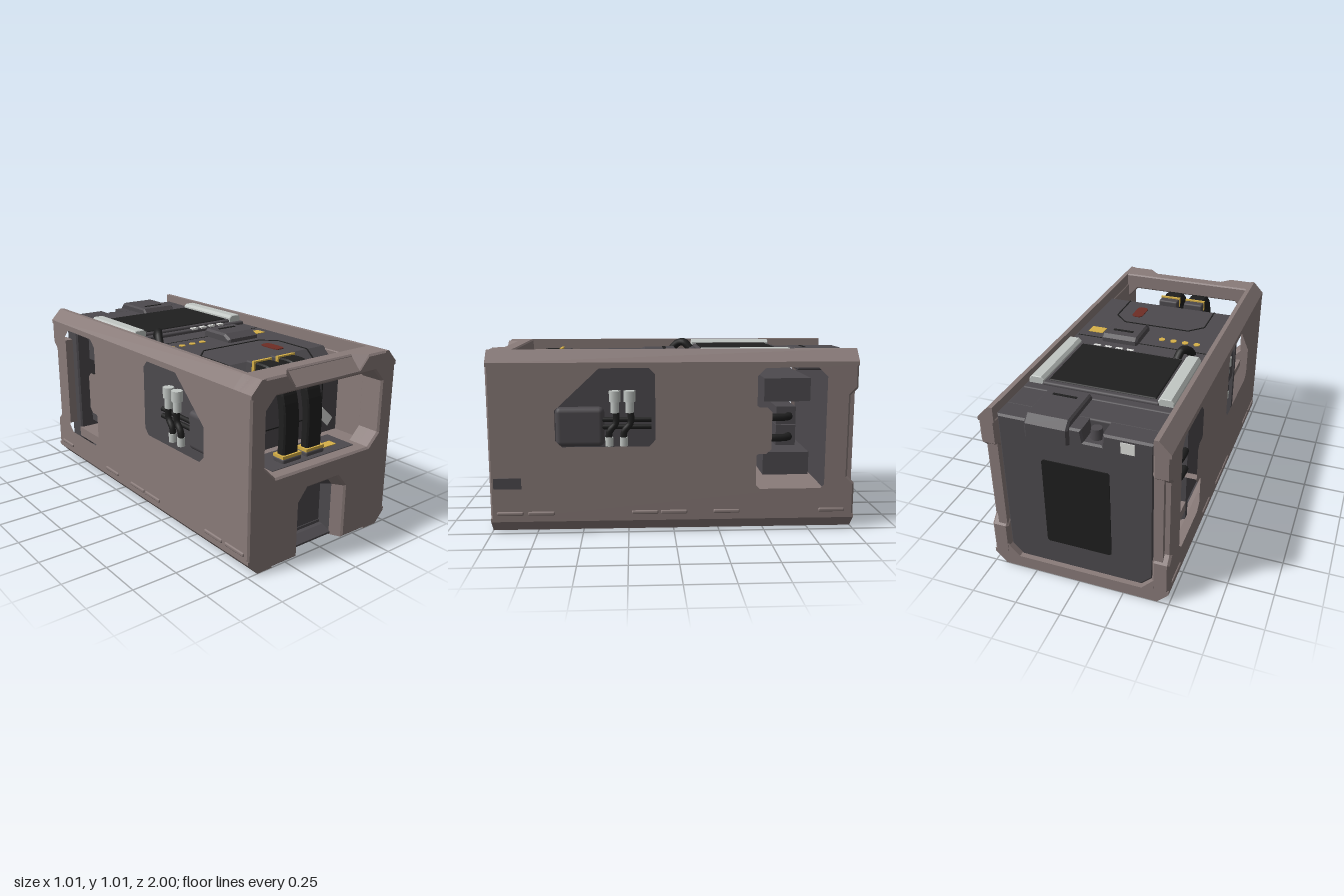
import * as THREE from 'three';
import { RoundedBoxGeometry } from 'three/addons/geometries/RoundedBoxGeometry.js';
import { ConvexGeometry } from 'three/addons/geometries/ConvexGeometry.js';

const mat = (name, color) => Object.assign(new THREE.MeshStandardMaterial({ color }), { name });
const M = {
  shell: mat('taupe shell', 0x897b79),
  grey: mat('dark grey', 0x4d4a4e),
  black: mat('black', 0x1f1f1f),
  silver: mat('silver', 0xc2c7c4),
  yellow: mat('yellow', 0xd6b048),
  red: mat('red', 0x6e2d25),
  white: mat('white', 0xdedfdc),
};

export function createModel() {
  const root = new THREE.Group();
  root.name = 'equipmentModule';

  const add = (name, geo, m, x = 0, y = 0, z = 0) => {
    const mesh = new THREE.Mesh(geo, m);
    mesh.name = name;
    mesh.position.set(x, y, z);
    root.add(mesh);
    return mesh;
  };
  // box given by its min and max on each axis, optionally rounded
  const box = (name, m, [x0, x1], [y0, y1], [z0, z1], r = 0) => {
    const s = [x1 - x0, y1 - y0, z1 - z0];
    const g = r ? new RoundedBoxGeometry(...s, 2, r) : new THREE.BoxGeometry(...s);
    return add(name, g, m, (x0 + x1) / 2, (y0 + y1) / 2, (z0 + z1) / 2);
  };
  const toShape = (pts, holes = []) => {
    const s = new THREE.Shape(pts.map(p => new THREE.Vector2(...p)));
    s.holes = holes.map(h => new THREE.Path(h.map(p => new THREE.Vector2(...p))));
    return s;
  };
  const extrude = (pts, depth, bevel, holes) => new THREE.ExtrudeGeometry(toShape(pts, holes), {
    depth: depth - 2 * bevel, bevelEnabled: bevel > 0, bevelSize: bevel, bevelOffset: -bevel,
    bevelThickness: bevel, bevelSegments: 1, curveSegments: 6,
  }).translate(0, 0, bevel);
  // outline in (x, y), extruded from z0 to z1
  const alongZ = (name, m, pts, z0, z1, bevel = 0, holes) =>
    add(name, extrude(pts, z1 - z0, bevel, holes), m, 0, 0, z0);
  // outline in (z, y), extruded from x0 to x1
  const alongX = (name, m, pts, x0, x1, bevel = 0, holes = []) => {
    const flip = list => list.map(([z, y]) => [-z, y]);
    return add(name, extrude(flip(pts), x1 - x0, bevel, holes.map(flip)).rotateY(Math.PI / 2), m, x0);
  };
  // right half of an outline, completed by its mirror image
  const mirror = half => [...half, ...half.map(([x, ...r]) => [-x, ...r]).reverse()];
  const tube = (name, m, pts, r) => add(name, new THREE.TubeGeometry(
    new THREE.CatmullRomCurve3(pts.map(p => new THREE.Vector3(...p))), 16, r, 8), m);
  // straight bar between two points
  const bar = (name, m, a, b, w, h = w) => {
    const p = new THREE.Vector3(...a), q = new THREE.Vector3(...b);
    const mesh = add(name, new THREE.BoxGeometry(w, h, p.distanceTo(q)), m);
    mesh.position.copy(p).add(q).multiplyScalar(0.5);
    mesh.lookAt(q);
  };

  // side walls with two windows and a grip notch at the rear edge
  const wall = [[0.985, 0.065], [0.985, 0.935], [-1, 0.935], [-1, 0.79], [-0.96, 0.75], [-0.96, 0.3], [-1, 0.26], [-1, 0.065]];
  const frontWindow = [[0.09, 0.51], [0.13, 0.468], [0.61, 0.468], [0.653, 0.51], [0.653, 0.685], [0.405, 0.917], [0.13, 0.917], [0.09, 0.875]];
  const rearWindow = [[-0.438, 0.865], [-0.49, 0.915], [-0.785, 0.915], [-0.842, 0.86], [-0.842, 0.25], [-0.795, 0.203], [-0.485, 0.203],
    [-0.438, 0.25], [-0.438, 0.43], [-0.46, 0.443], [-0.5, 0.443], [-0.52, 0.463], [-0.52, 0.657], [-0.5, 0.677], [-0.46, 0.677], [-0.438, 0.69]];
  for (const s of [-1, 1]) {
    const side = (a, b) => (s > 0 ? [a, b] : [-b, -a]);
    const flip = pts => pts.map(([x, y]) => [x * s, y]);
    alongX('sideWall', M.shell, wall, ...side(0.405, 0.497), 0.012, [frontWindow, rearWindow]);
    box('rearGripBack', M.shell, side(0.41, 0.46), [0.24, 0.81], [-0.99, -0.9]);
    alongZ('topRail', M.shell, flip([[0.41, 0.915], [0.497, 0.915], [0.497, 0.935], [0.435, 1], [0.41, 1]]), -1, 1);
    alongZ('bottomRail', M.shell, flip([[0.34, 0], [0.435, 0], [0.497, 0.065], [0.497, 0.085], [0.41, 0.085], [0.34, 0.05]]), -1, 1);
    alongZ('rearCornerFillet', M.shell, flip([[0.415, 0.06], [0.415, 0.14], [0.34, 0.06]]), -1, -0.88);
    // raised skid pads
    for (const z of [0.895, 0.725, 0.16, 0, -0.29, -0.875])
      box('skidPad', M.shell, side(0.485, 0.505), [0.1, 0.122], [z - 0.073, z + 0.073], 0.008);

    // equipment seen in the front side window
    const x = s * 0.43;
    box('sideCanister', M.grey, side(0.34, 0.41), [0.46, 0.68], [0.38, 0.65], 0.03);
    for (const z of [0.32, 0.24]) {
      add('hoseFitting', new THREE.CylinderGeometry(0.032, 0.032, 0.06, 8), M.silver, x, 0.745, z);
      add('hoseFittingNeck', new THREE.CylinderGeometry(0.023, 0.023, 0.07, 8), M.silver, x, 0.69, z);
      tube('hose', M.black, [[x, 0.7, z], [x, 0.6, z - 0.005], [x, 0.55, z + 0.03], [x, 0.47, z + 0.035]], 0.018);
      add('hoseBase', new THREE.CylinderGeometry(0.022, 0.022, 0.05, 8), M.silver, x, 0.495, z + 0.033);
    }
    for (const y of [0.57, 0.61]) tube('crossHose', M.black, [[s * 0.39, y, 0.12], [s * 0.39, y, 0.4]], 0.014);
    // couplings behind the rear side window
    for (const y of [0.505, 0.62])
      tube('coupling', M.black, [[s * 0.42, y, -0.5], [s * 0.42, y, -0.57], [s * 0.4, y, -0.64], [s * 0.34, y, -0.65]], 0.021);
    // slanted brackets on the front bulkhead
    const b = box('slantedBracket', M.white, [-0.055, 0.055], [-0.028, 0.028], [-0.004, 0.004]);
    b.position.set(s * 0.31, 0.575, 0.693);
    b.rotation.z = -s * 0.75;
  }
  box('sidePlate', M.grey, [0.493, 0.5], [0.25, 0.31], [0.83, 0.98]);

  // front wall with cable window, foot recess and grip cut into the top edge
  const foot = [[0.165, 0], [0.165, 0.305], [0.108, 0.375]];
  const lower = [...foot].reverse();
  const outer = [[0.435, 0], [0.497, 0.065], [0.497, 0.935], [0.435, 1]];
  const windowHole = mirror([[0.33, 0.485], [0.4, 0.555], [0.4, 0.84], [0.34, 0.905]]);
  alongZ('frontWallInner', M.shell, mirror([...lower, ...outer]), 0.86, 0.94, 0.008, [windowHole]);
  alongZ('frontWallOuter', M.shell, mirror([...lower, ...outer, [0.28, 1], [0.22, 0.935]]), 0.9, 1, 0.01, [windowHole]);
  const hull = pts => add('frontGripSlope', new ConvexGeometry(pts.map(p => new THREE.Vector3(...p))), M.shell);
  const corner = s => [[0.22, 0.93, 0.93], [0.22, 0.93, 0.995], [0.22, 1, 0.93], [0.285, 1, 0.995], [0.285, 1, 0.93]].map(([x, y, z]) => [x * s, y, z]);
  hull(corner(1));
  hull(corner(-1));
  hull([1, -1].flatMap(s => corner(s).slice(0, 3)));

  // tapered foot recess: shell coloured outer ring, grey inner ring
  const rings = [[foot, 0.99], [[[0.138, 0], [0.138, 0.3], [0.093, 0.355]], 0.93], [[[0.12, 0], [0.12, 0.28], [0.082, 0.335]], 0.86]]
    .map(([half, z]) => mirror(half).map(([x, y]) => [x, y, z]));
  [M.shell, M.grey].forEach((m, r) => {
    const tri = [];
    for (let i = 0; i < 5; i++) {
      const [a, b, c, d] = [rings[r][i], rings[r][i + 1], rings[r + 1][i + 1], rings[r + 1][i]];
      tri.push(a, b, d, b, c, d);
    }
    const geo = new THREE.BufferGeometry();
    geo.setAttribute('position', new THREE.Float32BufferAttribute(tri.flat(), 3));
    geo.computeVertexNormals();
    add('footRecess', geo, m);
  });
  box('footRecessBack', M.grey, [-0.18, 0.18], [0.02, 0.4], [0.83, 0.865]);
  alongX('footRecessSill', M.grey, [[0.86, 0.01], [0.86, 0.055], [0.89, 0.05], [0.94, 0.02], [0.94, 0.01]], -0.135, 0.135);

  // underside panel, rear sill and braces
  box('underPanel', M.grey, [-0.42, 0.42], [0.03, 0.07], [-0.95, 0.87]);
  box('rearSill', M.shell, [-0.43, 0.43], [0, 0.07], [-1, -0.9]);
  for (const s of [-1, 1]) {
    for (const z of [-0.85, 0.12]) bar('underBrace', M.shell, [0, 0.02, -0.2], [s * 0.37, 0.02, z], 0.1, 0.033);
    box('recessSurround', M.shell, [s * 0.21 - 0.035, s * 0.21 + 0.035], [0.004, 0.04], [0.56, 0.88]);
  }
  box('underSpar', M.shell, [-0.05, 0.05], [0.004, 0.04], [-0.2, 0.55]);
  box('recessSurroundEnd', M.shell, [-0.245, 0.245], [0.004, 0.04], [0.53, 0.6]);
  box('underHub', M.shell, [-0.11, 0.11], [0.004, 0.04], [-0.31, -0.09]);

  // inner core, bulkheads and deck with a sloped front edge
  box('core', M.grey, [-0.37, 0.37], [0.06, 0.85], [-0.4, 0.66]);
  box('middleBulkhead', M.grey, [-0.41, 0.41], [0.06, 0.92], [-0.42, -0.38]);
  alongX('deck', M.grey, [[-0.4, 0.78], [-0.4, 0.94], [0.56, 0.94], [0.69, 0.83], [0.69, 0.07], [0.65, 0.07], [0.65, 0.78]], -0.41, 0.41);
  box('cableShelf', M.shell, [-0.41, 0.41], [0.44, 0.482], [0.66, 0.88]);
  box('cableShelfPlate', M.grey, [-0.29, 0.29], [0.47, 0.488], [0.74, 0.93]);
  // modules and floor of the rear bay
  for (const [y0, y1, z0, z1] of [[0.28, 0.41, -0.77, -0.51], [0.7, 0.83, -0.77, -0.51], [0.45, 0.565, -0.69, -0.58], [0.57, 0.67, -0.69, -0.58]])
    box('bayModule', M.grey, [-0.36, 0.36], [y0, y1], [z0, z1]);
  box('bayFloor', M.shell, [-0.41, 0.41], [0.15, 0.21], [-0.86, -0.42]);

  // rear panel with knob notch, vent, top block and latch
  const rear = [[0.34, 0.065], [0.405, 0.13], [0.405, 0.955], [-0.04, 0.955], [-0.05, 0.89], [-0.14, 0.89], [-0.15, 0.955],
    [-0.405, 0.955], [-0.405, 0.13], [-0.34, 0.065]];
  alongZ('rearPanel', M.grey, rear, -0.975, -0.85, 0.01);
  alongZ('rearVent', M.black, mirror([[0.17, 0.22], [0.18, 0.23], [0.18, 0.73], [0.17, 0.74]]), -0.98, -0.97);
  box('rearLabel', M.white, [-0.31, -0.24], [0.875, 0.935], [-0.979, -0.974]);
  box('rearTopBlock', M.grey, [-0.41, 0.41], [0.88, 0.955], [-0.865, -0.68], 0.01);
  add('knob', new THREE.CylinderGeometry(0.028, 0.034, 0.06, 12), M.grey, -0.095, 0.915, -0.91);
  alongX('rearLatch', M.grey, [[-0.68, 0.92], [-0.68, 0.965], [-0.7, 0.99], [-0.96, 0.99], [-0.998, 0.95], [-0.998, 0.87], [-0.97, 0.85], [-0.95, 0.92]], 0.02, 0.25, 0.01);
  box('rearLatchSlot', M.black, [0.07, 0.2], [0.985, 0.993], [-0.77, -0.755]);

  // display with light bars
  box('displayBase', M.grey, [-0.405, 0.405], [0.9, 0.96], [-0.7, -0.13], 0.01);
  box('displayFrame', M.grey, [-0.32, 0.32], [0.93, 0.976], [-0.65, -0.16], 0.012);
  box('display', M.black, [-0.295, 0.295], [0.95, 0.982], [-0.62, -0.18], 0.008);
  for (const s of [-1, 1])
    alongZ('lightBar', M.silver, [[0.31, 0.94], [0.31, 0.985], [0.325, 1], [0.38, 1], [0.395, 0.98], [0.395, 0.94]].map(([x, y]) => [x * s, y]), -0.645, -0.155, 0.004);
  for (let i = 0; i < 4; i++) {
    box('button', M.white, [0.003 + i * 0.066, 0.043 + i * 0.066], [0.955, 0.966], [-0.157, -0.131]);
    add('statusDot', new THREE.CylinderGeometry(0.019, 0.019, 0.008, 12), M.yellow, -0.3 + i * 0.07, 0.941, 0.09);
  }
  tube('deckHose', M.black, [[-0.25, 0.95, -0.14], [-0.265, 0.99, -0.1], [-0.29, 0.98, -0.06], [-0.31, 0.92, -0.01]], 0.024);

  // deck fittings
  alongX('deckLatch', M.grey, [[-0.04, 0.92], [-0.04, 0.965], [-0.02, 0.985], [0.15, 0.985], [0.2, 0.96], [0.2, 0.92]], 0.02, 0.24, 0.012);
  box('deckLatchSlot', M.black, [0.07, 0.19], [0.98, 0.988], [0.03, 0.048]);
  box('deckSeam', M.black, [-0.4, 0.4], [0.935, 0.941], [-0.006, 0.002]);
  box('warningLabel', M.yellow, [0.27, 0.36], [0.937, 0.943], [0.055, 0.125]);
  const handle = add('redHandle', extrude(mirror([[0.02, -0.07], [0.033, -0.05], [0.033, 0.05], [0.02, 0.07]]), 0.009, 0), M.red, 0.16, 0.936, 0.41);
  handle.rotation.x = -Math.PI / 2;
  const label = box('slopeLabel', M.white, [-0.05, 0.05], [-0.022, 0.022], [-0.004, 0.004]);
  label.position.set(0.19, 0.883, 0.63);
  label.rotation.x = Math.atan2(0.11, 0.13) - Math.PI / 2;
  box('shelfLabel', M.yellow, [0.13, 0.22], [0.485, 0.492], [0.82, 0.87]);
  // hatch seam running over the deck and down the bulkhead
  const seam = mirror([[0.2, 0.59, 0.69], [0.28, 0.67, 0.69], [0.28, 0.83, 0.69], [0.28, 0.94, 0.56], [0.28, 0.94, 0.33], [0.2, 0.94, 0.25]]);
  seam.forEach((p, i) => bar('hatchSeam', M.black, p, seam[(i + 1) % seam.length], 0.007));

  // flat cables from the deck down to the shelf, with collars
  const path = new THREE.SplineCurve([[0.61, 0.925], [0.68, 0.936], [0.76, 0.928], [0.825, 0.865], [0.862, 0.72], [0.86, 0.48]].map(p => new THREE.Vector2(...p)));
  const edge = d => Array.from({ length: 19 }, (_, i) => {
    const p = path.getPoint(i / 18), t = path.getTangent(i / 18);
    return [p.x - t.y * d, p.y + t.x * d];
  });
  for (const x of [-0.128, 0.035]) {
    alongX('flatCable', M.black, [...edge(0.026), ...edge(-0.026).reverse()], x - 0.052, x + 0.052, 0.008);
    box('deckSocket', M.grey, [x - 0.06, x + 0.06], [0.85, 0.962], [0.59, 0.645], 0.01);
    box('deckCollar', M.yellow, [x - 0.062, x + 0.062], [0.91, 0.968], [0.642, 0.658]);
    box('shelfSocket', M.grey, [x - 0.064, x + 0.064], [0.48, 0.512], [0.822, 0.9], 0.01);
    box('shelfCollar', M.yellow, [x - 0.064, x + 0.064], [0.511, 0.527], [0.824, 0.898]);
  }
  return root;
}
